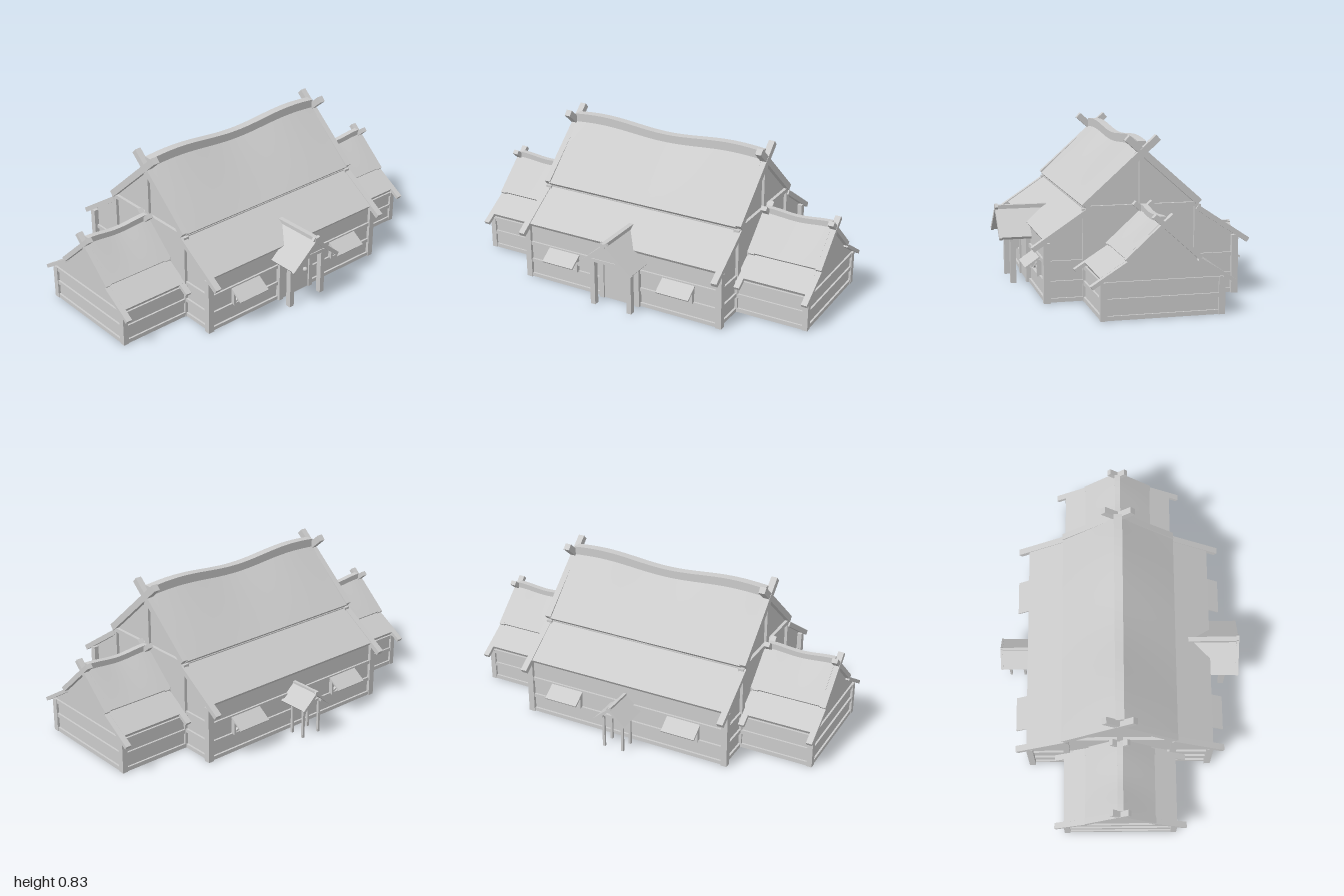
import * as THREE from 'three';

const mat = new THREE.MeshStandardMaterial({ color: 0xcccccc });

function add(group, name, geo) {
  const m = new THREE.Mesh(geo, mat);
  m.name = name;
  group.add(m);
  return m;
}

// Box given by its centre and size
function box(group, name, x, y, z, w, h, d) {
  return add(group, name, new THREE.BoxGeometry(w, h, d).translate(x, y, z));
}

// Bar or slab whose centre line runs from a to b ([z, y]); `bend` lifts vertices
function slope(group, name, x, width, a, b, thick, bend) {
  const dz = b[0] - a[0], dy = b[1] - a[1];
  const geo = new THREE.BoxGeometry(width, thick, Math.hypot(dz, dy), bend ? 20 : 1, 1, bend ? 6 : 1);
  geo.rotateX(-Math.atan2(dy, dz));
  geo.translate(x, (a[1] + b[1]) / 2, (a[0] + b[0]) / 2);
  if (bend) bendGeo(geo, bend);
  return add(group, name, geo);
}

function bendGeo(geo, bend) {
  const p = geo.attributes.position;
  for (let i = 0; i < p.count; i++) p.setY(i, p.getY(i) + bend(p.getX(i), p.getY(i)));
  geo.computeVertexNormals();
}

// Prism with a [z, y] half profile mirrored about z = 0, between x0 and x1
function prism(group, name, half, x0, x1) {
  const pts = [...half, ...half.slice().reverse().filter(p => p[0] > 0).map(([z, y]) => [-z, y])];
  const shape = new THREE.Shape(pts.map(([z, y]) => new THREE.Vector2(-z, y)));
  const geo = new THREE.ExtrudeGeometry(shape, { depth: x1 - x0, bevelEnabled: false });
  geo.rotateY(Math.PI / 2).translate(x0, 0, 0);
  return add(group, name, geo);
}

// Two-stage roof with sagging ridge beam and crossed barge boards
function steppedRoof(group, o) {
  const xc = (o.x0 + o.x1) / 2, w = o.x1 - o.x0;
  const wave = (x, y) => -o.sag * Math.cos(2 * Math.PI * (x - xc) / o.period)
    * Math.max(0, (y - o.mid[1]) / (o.ridge - o.mid[1]));
  const ridge = new THREE.BoxGeometry(w, o.beam, o.beam, 28, 1, 1);
  ridge.translate(xc, o.ridge + o.beam * 0.2, 0);
  bendGeo(ridge, wave);
  add(group, 'ridgeBeam', ridge);
  for (const s of [1, -1]) {
    const f = ([z, y]) => [z * s, y];
    slope(group, 'upperRoof', xc, w, f([0, o.ridge - 0.01]), f(o.mid), 0.022, wave);
    slope(group, 'lowerRoof', xc, w, f(o.low), f(o.eave), 0.02);
    box(group, 'roofPurlin', xc, o.mid[1] - 0.025, s * (o.mid[0] - 0.015), w, 0.03, 0.02);
    for (const x of o.bargeX) {
      slope(group, 'upperBargeBoard', x + s * 0.001, o.bargeW, f(o.horn), f(o.bargeMid), o.bargeT);
      slope(group, 'lowerBargeBoard', x, o.bargeW, f(o.low), f(o.bargeEnd), o.bargeT * 0.75);
    }
  }
}

function mainHall() {
  const g = new THREE.Group();
  g.name = 'mainHall';
  prism(g, 'hallWalls', [[0.49, 0], [0.49, 0.305], [0.285, 0.445], [0.285, 0.475], [0, 0.745]], -0.575, 0.575);
  steppedRoof(g, {
    x0: -0.572, x1: 0.572, ridge: 0.765, beam: 0.045, sag: 0.012, period: 0.8,
    mid: [0.3, 0.478], low: [0.285, 0.457], eave: [0.5, 0.313],
    bargeX: [-0.583, 0.583], bargeW: 0.034, bargeT: 0.035,
    horn: [-0.08, 0.818], bargeMid: [0.298, 0.482], bargeEnd: [0.56, 0.275],
  });
  for (const sx of [1, -1]) {
    // Gable timber frame
    box(g, 'gableKingPost', sx * 0.575, 0.615, 0, 0.03, 0.28, 0.032);
    box(g, 'gableTieBeam', sx * 0.575, 0.472, 0, 0.034, 0.022, 0.58);
    for (const y of [0.012, 0.1, 0.203]) box(g, 'endRail', sx * 0.575, y, 0, 0.022, 0.02, 0.97);
    for (const sz of [1, -1]) {
      box(g, 'cornerPost', sx * 0.583, 0.152, sz * 0.49, 0.034, 0.304, 0.034);
      box(g, 'gablePost', sx * 0.575, 0.235, sz * 0.29, 0.032, 0.47, 0.034);
      // Long wall rails, stopping at the door
      for (const y of [0.012, 0.1, 0.203]) box(g, 'wallRail', sx * 0.345, y, sz * 0.49, 0.46, 0.02, 0.022);
      windowBay(g, sx * 0.35, sz);
    }
  }
  for (const y of [0.012, 0.1, 0.203]) box(g, 'backRail', 0, y, -0.49, 0.3, 0.02, 0.022);
  return g;
}

// Shuttered window: frame, crossed bars and a propped awning
function windowBay(g, x, s) {
  const z = s * 0.5;
  for (const y of [0.11, 0.19]) box(g, 'windowFrame', x, y, z, 0.17, 0.012, 0.025);
  for (const e of [-1, 1]) {
    box(g, 'windowFrame', x + e * 0.08, 0.15, z, 0.012, 0.08, 0.025);
    const geo = new THREE.BoxGeometry(0.165, 0.01, 0.014).rotateZ(e * 0.43).translate(x, 0.15, z);
    add(g, 'windowCrossBar', geo);
  }
  slope(g, 'windowAwning', x, 0.19, [s * 0.5, 0.203], [s * 0.573, 0.152], 0.009);
}

function wing(s) {
  const g = new THREE.Group();
  g.name = s > 0 ? 'leftWing' : 'rightWing';
  const [x0, x1] = s > 0 ? [0.57, 0.975] : [-0.975, -0.57];
  prism(g, 'wingWalls', [[0.295, 0], [0.295, 0.19], [0.17, 0.268], [0.17, 0.29], [0, 0.445]], x0, x1);
  steppedRoof(g, {
    x0: s > 0 ? 0.6 : -0.97, x1: s > 0 ? 0.97 : -0.6, ridge: 0.46, beam: 0.03, sag: 0.006, period: 0.36,
    mid: [0.18, 0.289], low: [0.172, 0.279], eave: [0.3, 0.198],
    bargeX: [s * 0.607, s * 0.983], bargeW: 0.032, bargeT: 0.025,
    horn: [-0.048, 0.495], bargeMid: [0.183, 0.285], bargeEnd: [0.353, 0.165],
  });
  for (const y of [0.012, 0.095, 0.176]) {
    box(g, 'wingEndRail', s * 0.975, y, 0, 0.02, 0.022, 0.59);
    for (const sz of [1, -1]) box(g, 'wingSideRail', s * 0.78, y, sz * 0.295, 0.4, 0.022, 0.02);
  }
  for (const sz of [1, -1]) box(g, 'wingCornerPost', s * 0.973, 0.093, sz * 0.292, 0.03, 0.186, 0.032);
  return g;
}

// Porches are made with their ridge along x, then turned to run along z
function frontPorch() {
  const g = new THREE.Group();
  g.name = 'frontPorch';
  box(g, 'porchRidge', 0.5, 0.393, 0, 0.33, 0.022, 0.026);
  prism(g, 'porchGable', [[0.12, 0.255], [0.12, 0.27], [0, 0.372]], 0.575, 0.595);
  box(g, 'porchLintel', 0.585, 0.259, 0, 0.03, 0.018, 0.25);
  for (const s of [1, -1]) {
    slope(g, 'porchRoof', 0.5, 0.32, [0, 0.383], [s * 0.155, 0.25], 0.018);
    slope(g, 'porchBargeBoard', 0.655 + s * 0.001, 0.016, [-s * 0.022, 0.402], [s * 0.158, 0.247], 0.02);
    box(g, 'porchPost', 0.585, 0.128, s * 0.11, 0.03, 0.256, 0.028);
    box(g, 'porchPlate', 0.54, 0.255, s * 0.11, 0.12, 0.018, 0.024);
    box(g, 'doorJamb', 0.5, 0.128, s * 0.108, 0.03, 0.256, 0.026);
  }
  box(g, 'door', 0.496, 0.128, 0, 0.02, 0.256, 0.2);
  box(g, 'doorHead', 0.5, 0.262, 0, 0.03, 0.018, 0.24);
  add(g, 'doorKnob', new THREE.SphereGeometry(0.013, 16, 10).translate(0.515, 0.12, -0.065));
  g.rotation.y = -Math.PI / 2;
  return g;
}

function backPorch() {
  const g = new THREE.Group();
  g.name = 'backPorch';
  box(g, 'backPorchRidge', 0.575, 0.258, 0, 0.18, 0.014, 0.016);
  for (const s of [1, -1]) {
    slope(g, 'backPorchRoof', 0.575, 0.176, [0, 0.252], [s * 0.088, 0.175], 0.012);
    slope(g, 'backPorchBargeBoard', 0.659, 0.012, [-s * 0.01, 0.262], [s * 0.09, 0.174], 0.014);
    for (const x of [0.54, 0.62]) box(g, 'backPorchPost', x, 0.1, s * 0.055, 0.013, 0.2, 0.013);
    box(g, 'backPorchPlate', 0.57, 0.192, s * 0.055, 0.15, 0.013, 0.013);
  }
  for (const x of [0.54, 0.62]) box(g, 'backPorchTie', x, 0.192, 0, 0.013, 0.013, 0.12);
  g.rotation.y = Math.PI / 2;
  return g;
}

export function createModel() {
  const model = new THREE.Group();
  model.name = 'longhouse';
  model.add(mainHall(), wing(1), wing(-1), frontPorch(), backPorch());
  return model;
}
